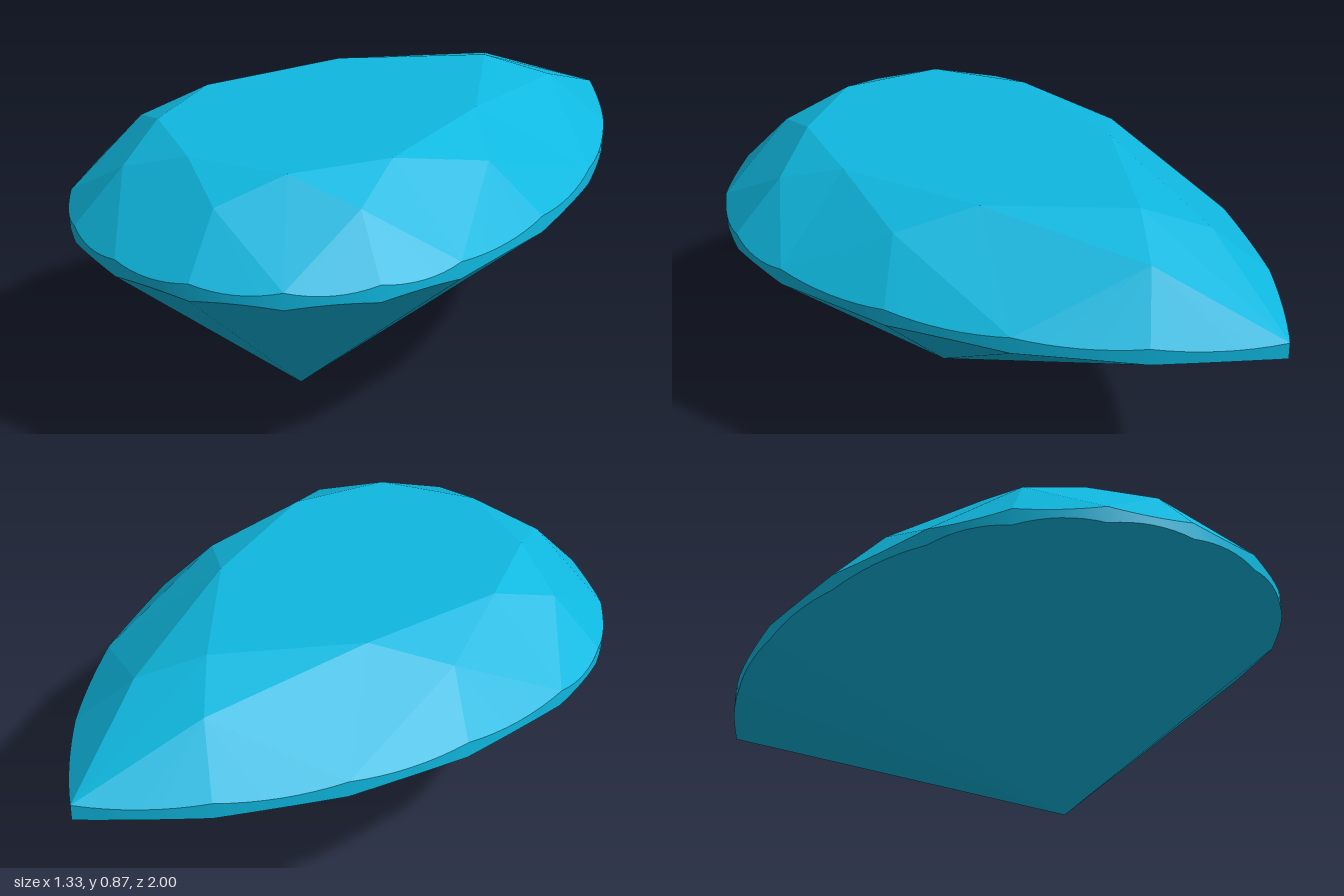
import * as THREE from 'three';

const R = 2 / 3, CZ = 1 / 3;              // round end: radius and centre
const BIG = 5 / 3;                        // radius of the arcs that meet at the point
const SWEEP = Math.asin((1 + CZ) / BIG);
const TOP = 0.87, GIRDLE_TOP = 0.645, GIRDLE_BOTTOM = 0.593, STAR_Y = 0.803;
const STEPS = 8;                          // outline points per facet

const wrap = (u) => (u > 8 ? u - 16 : u < -8 ? u + 16 : u);

// Pear outline: u = 0 at the round front, +-4 at the sides, +-8 at the point
function outline(u, y, scale = 1) {
  const t = Math.abs(wrap(u)), side = Math.sign(wrap(u));
  let x, z;
  if (t <= 4) {
    const a = t * Math.PI / 8;
    x = R * Math.sin(a);
    z = R * Math.cos(a);
  } else {
    const a = (t - 4) / 4 * SWEEP;
    x = Math.max(0, BIG * Math.cos(a) - (BIG - R));
    z = -BIG * Math.sin(a);
  }
  return new THREE.Vector3(side * x * scale, y, CZ + z * scale);
}

// Corners between the main crown facets (odd u)
const STARS = { 1: [0.2, 0.81], 3: [0.48, 0.53], 5: [0.49, 0.04], 7: [0.14, -0.62] };
function star(u) {
  const w = wrap(u), [x, z] = STARS[Math.abs(w)];
  return new THREE.Vector3(Math.sign(w) * x, STAR_Y, z);
}
const table = (u) => outline(u, TOP, 0.6);
const culet = new THREE.Vector3(0, 0, CZ);

// Curved edge where the flat facet (apex, corner k, corner k + 1) cuts the outline
function facetEdge(apex, k, y) {
  const a = outline(k, y), b = outline(k + 1, y);
  const n = b.clone().sub(a).cross(apex.clone().sub(a));
  const points = [];
  for (let j = 0; j <= STEPS; j++) {
    const p = outline(k + j / STEPS, y);
    p.y = a.y - (n.x * (p.x - a.x) + n.z * (p.z - a.z)) / n.y;
    points.push(p);
  }
  return points;
}
const crownApex = (k) => star(k % 2 ? k : k + 1);

function facetMesh(name, corners, material) {
  const geometry = new THREE.BufferGeometry().setFromPoints(corners);
  geometry.computeVertexNormals();
  const mesh = new THREE.Mesh(geometry, material);
  mesh.name = name;
  return mesh;
}

export function createModel() {
  const group = new THREE.Group();
  group.name = 'pearCutGem';
  const flat = new THREE.MeshStandardMaterial({ color: 0x0fb8e0, flatShading: true });
  const smooth = new THREE.MeshStandardMaterial({ color: 0x0fb8e0 });

  const crown = [], pavilion = [], girdleTop = [], girdleBottom = [];
  for (let k = -8; k < 8; k++) {
    // Upper and lower facets that meet the girdle
    const apex = crownApex(k);
    const upper = facetEdge(apex, k, GIRDLE_TOP);
    const lower = facetEdge(culet, k, GIRDLE_BOTTOM);
    for (let j = 0; j < STEPS; j++) {
      crown.push(apex, upper[j], upper[j + 1]);
      pavilion.push(culet, lower[j + 1], lower[j]);
    }
    const first = k === -8 ? 0 : 1;
    girdleTop.push(...upper.slice(first));
    girdleBottom.push(...lower.slice(first));

    if (k % 2 === 0) {
      // Kite facet, and a slice of the flat table
      const g = outline(k, GIRDLE_TOP), t = table(k);
      crown.push(g, star(k + 1), t, g, t, star(k - 1));
      crown.push(new THREE.Vector3(0, TOP, CZ), t, table(k + 2));
    } else {
      // Star facet beside the table
      crown.push(star(k), table(k + 1), table(k - 1));
    }
  }

  // Girdle band, open at the point so that its edge stays sharp
  const count = girdleTop.length, index = [];
  for (let i = 0; i < count - 1; i++) {
    index.push(i, count + i, count + i + 1, i, count + i + 1, i + 1);
  }
  const band = new THREE.BufferGeometry().setFromPoints([...girdleTop, ...girdleBottom]);
  band.setIndex(index);
  band.computeVertexNormals();
  const girdle = new THREE.Mesh(band, smooth);
  girdle.name = 'girdle';

  group.add(facetMesh('crown', crown, flat), girdle, facetMesh('pavilion', pavilion, flat));
  return group;
}
